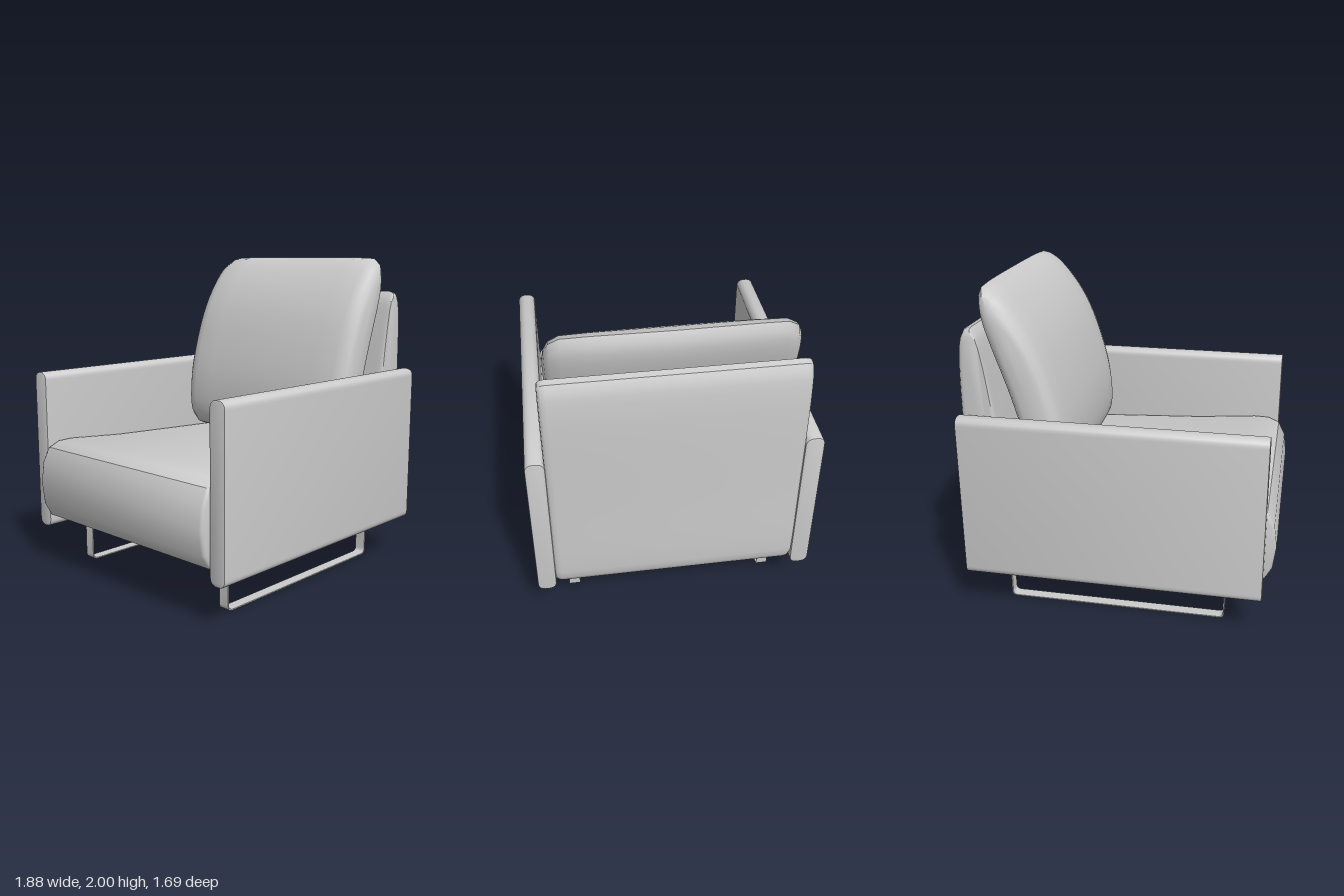
import * as THREE from 'three';
import { toCreasedNormals } from 'three/addons/utils/BufferGeometryUtils.js';

const material = new THREE.MeshStandardMaterial({ color: 0xcccccc });

function add(parent, name, geometry) {
  const mesh = new THREE.Mesh(geometry, material);
  mesh.name = name;
  parent.add(mesh);
  return mesh;
}

// Smooth closed outline through a few counter-clockwise points
function outline(points, count) {
  const curve = new THREE.CatmullRomCurve3(
    points.map(([x, y]) => new THREE.Vector3(x, y, 0)), true, 'centripetal');
  return curve.getSpacedPoints(count).slice(0, count);
}

// Upholstered block: an xy outline swept along z, mirrored, with its ends drawn in.
// ends: [z, inset in x, inset in y] from the outermost ring towards the middle.
function upholstery(profile, ends) {
  const box = new THREE.Box3().setFromPoints(profile);
  const c = box.getCenter(new THREE.Vector3()), s = box.getSize(new THREE.Vector3());
  const half = [[ends[0][0], s.x / 2, s.y / 2], ...ends];
  const rings = [
    ...half.map(([z, ix, iy]) => [-z, ix, iy]),
    ...half.filter(([z]) => z > 0).reverse(),
  ];
  const n = profile.length, positions = [], index = [];
  rings.forEach(([z, ix, iy], r) => {
    const kx = 1 - 2 * ix / s.x, ky = 1 - 2 * iy / s.y;
    profile.forEach((p, j) => {
      positions.push(c.x + (p.x - c.x) * kx, c.y + (p.y - c.y) * ky, z);
      if (r === rings.length - 1) return;
      const a = r * n + j, b = r * n + (j + 1) % n;
      if (r > 0) index.push(a, b, b + n);
      else index.push(a, b + n, a + n);
      if (r > 0 && r < rings.length - 2) index.push(a, b + n, a + n);
    });
  });
  const g = new THREE.BufferGeometry();
  g.setAttribute('position', new THREE.Float32BufferAttribute(positions, 3));
  g.setIndex(index);
  return toCreasedNormals(g, 0.7);
}

function roundedRect(path, x0, y0, x1, y1, r) {
  path.moveTo(x0 + r, y0);
  path.lineTo(x1 - r, y0).quadraticCurveTo(x1, y0, x1, y0 + r);
  path.lineTo(x1, y1 - r).quadraticCurveTo(x1, y1, x1 - r, y1);
  path.lineTo(x0 + r, y1).quadraticCurveTo(x0, y1, x0, y1 - r);
  path.lineTo(x0, y0 + r).quadraticCurveTo(x0, y0, x0 + r, y0);
  return path;
}

export function createModel() {
  const chair = new THREE.Group();
  chair.name = 'armchair';

  // Seat with a full, rounded front edge
  const seat = [
    [0.72, 0.29], [0.72, 0.74], [0.3, 0.76], [-0.3, 0.79], [-0.7, 0.825], [-0.8, 0.822],
    [-0.875, 0.79], [-0.92, 0.7], [-0.938, 0.565], [-0.92, 0.42], [-0.875, 0.34],
    [-0.8, 0.3], [-0.7, 0.29],
  ].map(([x, y]) => new THREE.Vector3(x, y, 0));
  add(chair, 'seat', upholstery(seat, [[0.736, 0.018, 0.018], [0.729, 0.006, 0.006], [0.715, 0, 0]]));

  // Backrest: upright behind, tapering to a rounded top
  const back = outline([
    [0.64, 0.275], [0.89, 0.275], [0.925, 0.31], [0.936, 0.4], [0.938, 0.9], [0.938, 1.45],
    [0.932, 1.6], [0.913, 1.73], [0.872, 1.785], [0.828, 1.75], [0.79, 1.62], [0.73, 1.27],
    [0.67, 0.8], [0.62, 0.33],
  ], 72);
  add(chair, 'backrest', upholstery(back, [
    [0.74, 0.035, 0.04], [0.735, 0.016, 0.02], [0.72, 0.005, 0.006], [0.695, 0, 0],
  ]));

  // Loose cushion leaning on the backrest, flat behind and bulging in front
  const cushion = outline([
    [0, -0.45], [0.004, 0.1], [0, 0.66], [-0.05, 0.745], [-0.13, 0.695], [-0.22, 0.53],
    [-0.277, 0.31], [-0.288, 0], [-0.26, -0.25], [-0.195, -0.45], [-0.13, -0.53], [-0.05, -0.53],
  ], 48);
  const cushionMesh = add(chair, 'backCushion', upholstery(cushion, [
    [0.7, 0.09, 0.22], [0.688, 0.055, 0.13], [0.66, 0.032, 0.055], [0.6, 0.018, 0.01],
    [0.45, 0.01, 0.002], [0.25, 0.004, 0], [0, 0, 0],
  ]));
  cushionMesh.position.set(0.65, 1.27, 0);
  cushionMesh.rotation.z = -0.308;

  // Arm panel: softly rounded along its long edges
  const armShape = roundedRect(new THREE.Shape(), -0.05, 0.255, 0.05, 1.265, 0.045);
  const armGeometry = toCreasedNormals(new THREE.ExtrudeGeometry(armShape, {
    depth: 1.798, curveSegments: 8, bevelSize: 0.006, bevelThickness: 0.006, bevelSegments: 2,
  }), 0.6);
  armGeometry.rotateY(Math.PI / 2).translate(-0.867, 0, 0);

  // Sled leg: a closed loop of thin flat strip
  const strip = 0.007;
  const legShape = roundedRect(new THREE.Shape(), -0.645, 0, 0.718, 0.275, 0.035);
  legShape.holes.push(roundedRect(new THREE.Path(),
    -0.645 + strip, strip, 0.718 - strip, 0.275 - strip, 0.03));
  const legGeometry = toCreasedNormals(new THREE.ExtrudeGeometry(legShape, {
    depth: 0.07, curveSegments: 4, bevelEnabled: false,
  }), 0.6);
  legGeometry.translate(0, 0, -0.035);

  for (const [side, sign] of [['right', -1], ['left', 1]]) {
    // The chair faces -x, so its own left is +z
    add(chair, side + 'Arm', armGeometry).position.z = sign * 0.79;
    add(chair, side + 'Leg', legGeometry).position.z = sign * 0.622;
  }
  return chair;
}
